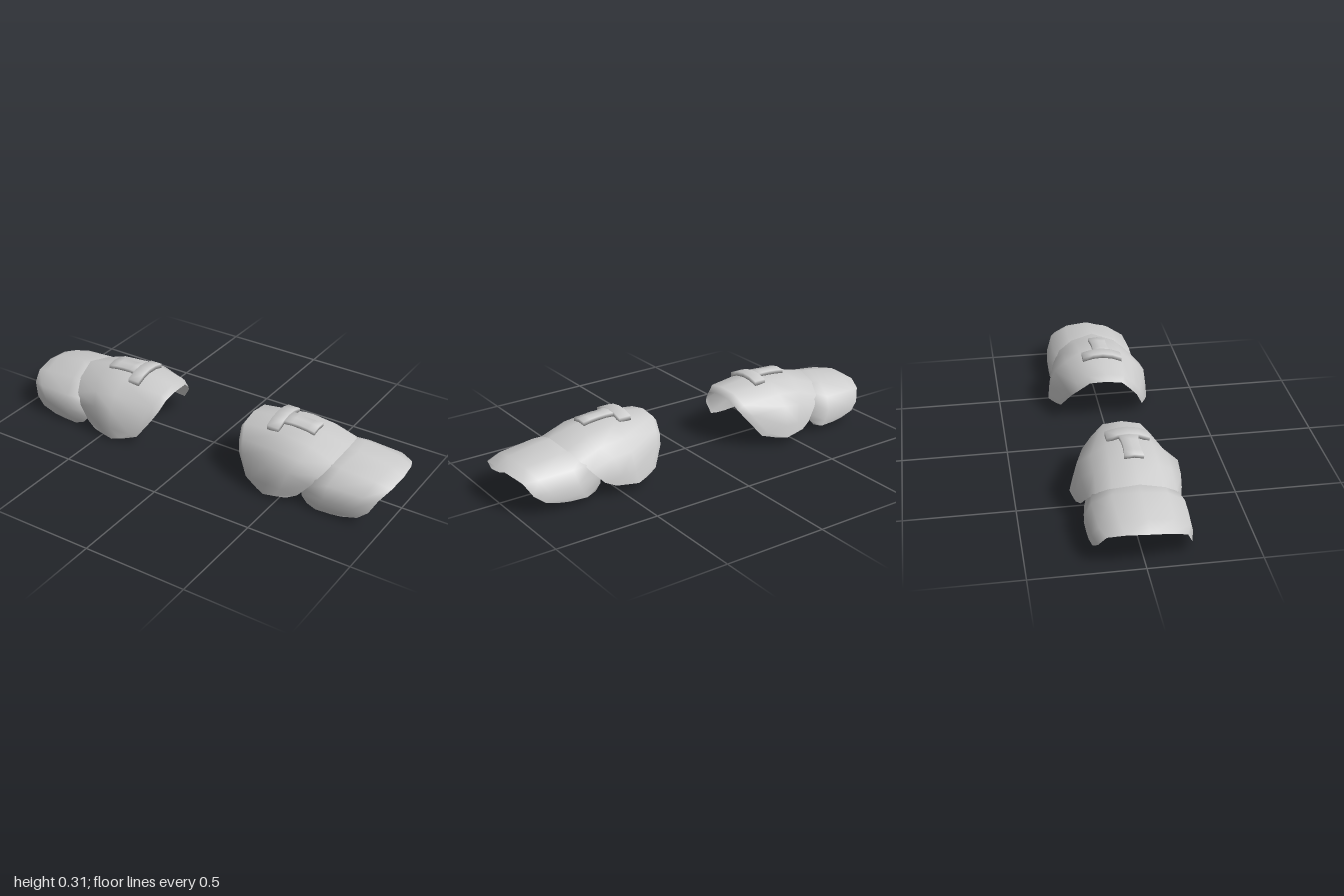
import * as THREE from 'three';
import { mergeVertices } from 'three/addons/utils/BufferGeometryUtils.js';

// Each row runs along x at one height of the arch, from crown to lower rim.
// Points are [x, y, z]; rows are mirrored in z to complete the arch.
const DOME = [
  [[0.21, 0.23, 0], [0.23, 0.262, 0], [0.45, 0.288, 0], [0.6, 0.272, 0], [0.73, 0.24, 0]],
  [[0.212, 0.222, 0.08], [0.235, 0.25, 0.088], [0.45, 0.271, 0.103], [0.59, 0.255, 0.107], [0.71, 0.21, 0.113]],
  [[0.228, 0.175, 0.13], [0.255, 0.2, 0.14], [0.45, 0.22, 0.172], [0.57, 0.207, 0.172], [0.68, 0.168, 0.177]],
  [[0.25, 0.135, 0.165], [0.28, 0.15, 0.183], [0.44, 0.174, 0.23], [0.54, 0.162, 0.225], [0.645, 0.122, 0.207]],
  [[0.31, 0.05, 0.208], [0.34, 0.06, 0.222], [0.44, 0.08, 0.248], [0.51, 0.075, 0.243], [0.59, 0.06, 0.225]],
  [[0.37, 0.034, 0.232], [0.39, 0.03, 0.24], [0.43, 0.024, 0.254], [0.48, 0.03, 0.249], [0.54, 0.037, 0.24]],
];
// The first column is a straight inner rim, tucked in beneath the shoulder plate
const LOWER = [
  [[0.65, 0.165, 0], [0.62, 0.238, 0], [0.78, 0.232, 0], [0.94, 0.207, 0], [1, 0.172, 0]],
  [[0.645, 0.14, 0.042], [0.61, 0.208, 0.115], [0.75, 0.206, 0.122], [0.92, 0.188, 0.115], [0.99, 0.165, 0.1]],
  [[0.637, 0.11, 0.09], [0.605, 0.15, 0.18], [0.73, 0.152, 0.204], [0.9, 0.148, 0.195], [0.962, 0.138, 0.17]],
  [[0.63, 0.08, 0.142], [0.6, 0.1, 0.205], [0.72, 0.088, 0.227], [0.86, 0.085, 0.218], [0.93, 0.08, 0.2]],
  [[0.622, 0.055, 0.19], [0.605, 0.06, 0.212], [0.7, 0.04, 0.226], [0.82, 0.04, 0.222], [0.885, 0.045, 0.214]],
  [[0.63, 0.033, 0.213], [0.635, 0.03, 0.217], [0.68, 0.014, 0.22], [0.76, 0.018, 0.22], [0.81, 0.025, 0.219]],
];

// Curved sheet lofted through the rows, back to front
function plateGeometry(half, side) {
  const back = half.slice(1).reverse().map(row => row.map(([x, y, z]) => [x, y, -z]));
  const rows = [...back, ...half];
  const n = rows[0].length;
  const pos = [], index = [];
  rows.forEach(row => row.forEach(([x, y, z]) => pos.push(x * side, y, z)));
  for (let i = 0; i < rows.length - 1; i++) {
    for (let j = 0; j < n - 1; j++) {
      const a = i * n + j, b = a + n, c = a + 1, d = b + 1;
      if (side > 0) index.push(a, b, c, c, b, d);
      else index.push(a, c, b, c, d, b);
    }
  }
  const geo = new THREE.BufferGeometry();
  geo.setAttribute('position', new THREE.Float32BufferAttribute(pos, 3));
  geo.setIndex(index);
  geo.computeVertexNormals();
  return geo;
}

// Smooth box whose vertices are moved by a rule
function bentBox(w, h, d, sx, sz, rule) {
  const box = new THREE.BoxGeometry(w, h, d, sx, 1, sz);
  box.deleteAttribute('normal');
  box.deleteAttribute('uv');
  const geo = mergeVertices(box);
  const p = geo.attributes.position;
  const v = new THREE.Vector3();
  for (let i = 0; i < p.count; i++) {
    v.fromBufferAttribute(p, i);
    rule(v);
    p.setXYZ(i, v.x, v.y, v.z);
  }
  geo.computeVertexNormals();
  return geo;
}

export function createModel() {
  const model = new THREE.Group();
  model.name = 'shoulderArmor';
  const metal = new THREE.MeshStandardMaterial({ color: 0xcccccc, side: THREE.DoubleSide });
  metal.name = 'plain grey';

  for (const side of [1, -1]) {
    const guard = new THREE.Group();
    guard.name = side > 0 ? 'leftShoulderGuard' : 'rightShoulderGuard';
    guard.rotation.x = 0.06; // slight forward tilt
    const add = (name, geo, x = 0, y = 0) => {
      const mesh = new THREE.Mesh(geo, metal);
      mesh.name = name;
      mesh.position.set(x * side, y, 0);
      guard.add(mesh);
      return mesh;
    };

    // Overlapping armour plates
    add('shoulderPlate', plateGeometry(DOME, side));
    add('upperArmPlate', plateGeometry(LOWER, side));

    // T-shaped strap: arched cross band and waisted tongue
    const band = bentBox(0.06, 0.022, 0.195, 1, 4, v => { v.y -= 2.3 * v.z * v.z; });
    add('crossStrap', band, 0.39, 0.297);
    const tongue = bentBox(0.16, 0.018, 0.088, 4, 2, v => {
      v.z *= 0.84 + 25 * v.x * v.x;
      v.y -= 3 * v.z * v.z;
    });
    add('strapTongue', tongue, 0.495, 0.291).rotation.z = -0.06 * side;

    model.add(guard);
  }
  return model;
}
